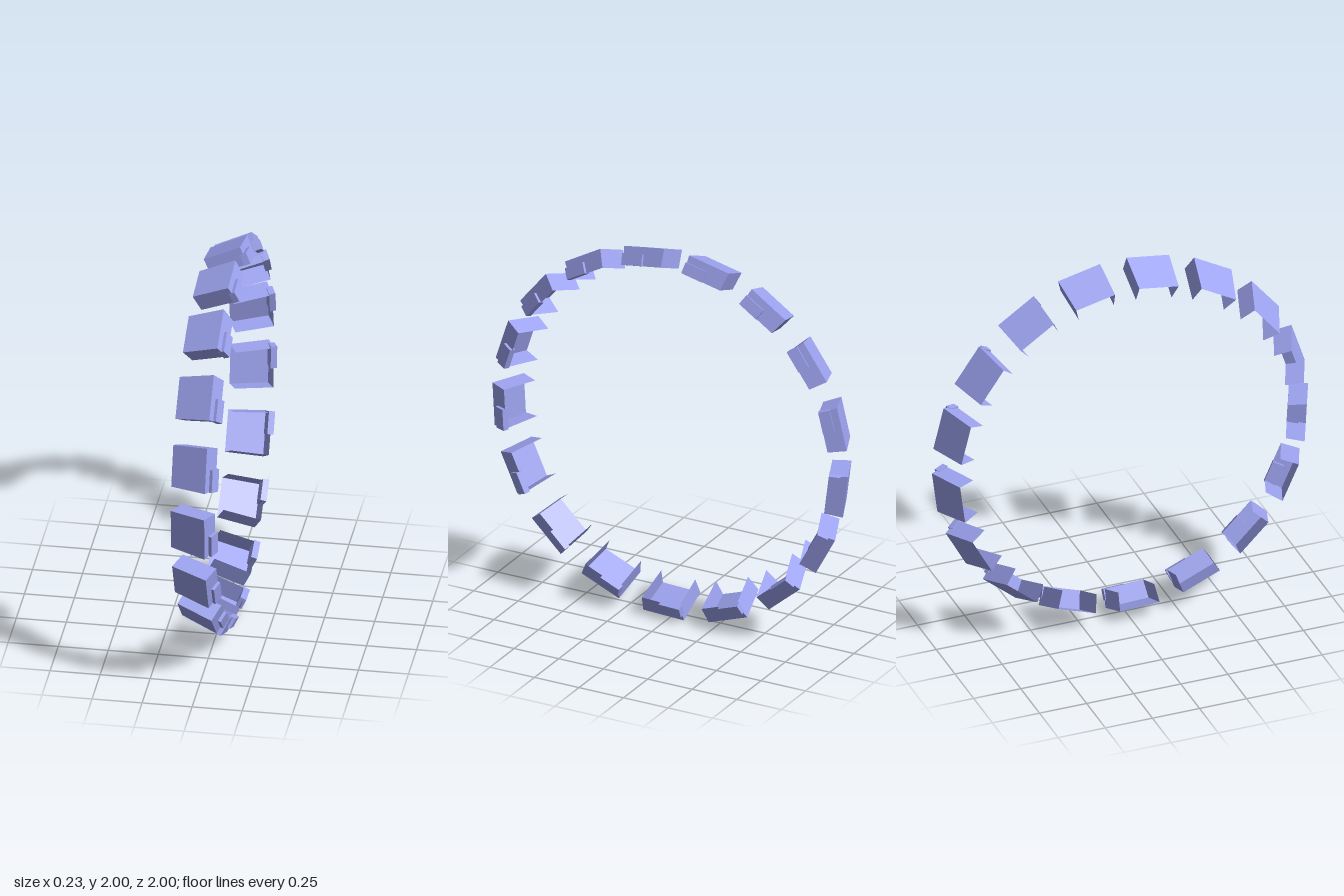
import * as THREE from 'three';

const COUNT = 17;                             // blocks round the ring
const START = THREE.MathUtils.degToRad(-3.2); // angle of the first block
const HALF = 0.115;                           // half width per unit of radius

// Section corners as [x, radius]: low edge, crest, side foot, inner end corner
const SECTION = [[-0.12, 0.915], [0.06, 0.993], [0.1, 0.907], [-0.08, 0.83]];

const material = new THREE.MeshStandardMaterial({
  color: 0x9da3f0, side: THREE.DoubleSide, flatShading: true,
});

// Open shell: sloping outer plate, side plate and two end plates
function shellGeometry() {
  const corners = [];
  for (const s of [-1, 1]) {
    for (const [x, r] of SECTION) corners.push([x, s * HALF * r, r]);
  }
  const quads = [[0, 1, 5, 4], [1, 2, 6, 5], [0, 3, 2, 1], [4, 5, 6, 7]];
  const positions = [];
  for (const [a, b, c, d] of quads) {
    for (const i of [a, b, c, a, c, d]) positions.push(...corners[i]);
  }
  const geometry = new THREE.BufferGeometry();
  geometry.setAttribute('position', new THREE.Float32BufferAttribute(positions, 3));
  geometry.computeVertexNormals();
  return geometry;
}

// Raised lug lying on the side plate, covering one half of its length
function lugGeometry() {
  const [, crest, foot] = SECTION;
  const tilt = Math.atan2(foot[0] - crest[0], crest[1] - foot[1]);
  const geometry = new THREE.BoxGeometry(0.032, 0.114, 0.058);
  geometry.translate(0, -0.055, 0.029);
  geometry.rotateY(-tilt);
  geometry.translate(foot[0], 0, foot[1]);
  return geometry;
}

export function createModel() {
  const model = new THREE.Group();
  model.name = 'treadRing';
  const shell = shellGeometry();
  const lug = lugGeometry();

  for (let i = 0; i < COUNT; i++) {
    const block = new THREE.Group();
    block.name = `treadBlock${i + 1}`;
    const plate = new THREE.Mesh(shell, material);
    plate.name = 'blockShell';
    const raised = new THREE.Mesh(lug, material);
    raised.name = 'sideLug';
    block.add(plate, raised);
    block.rotation.x = -(START + (i * 2 * Math.PI) / COUNT);
    block.position.y = 0.997;
    model.add(block);
  }
  return model;
}
